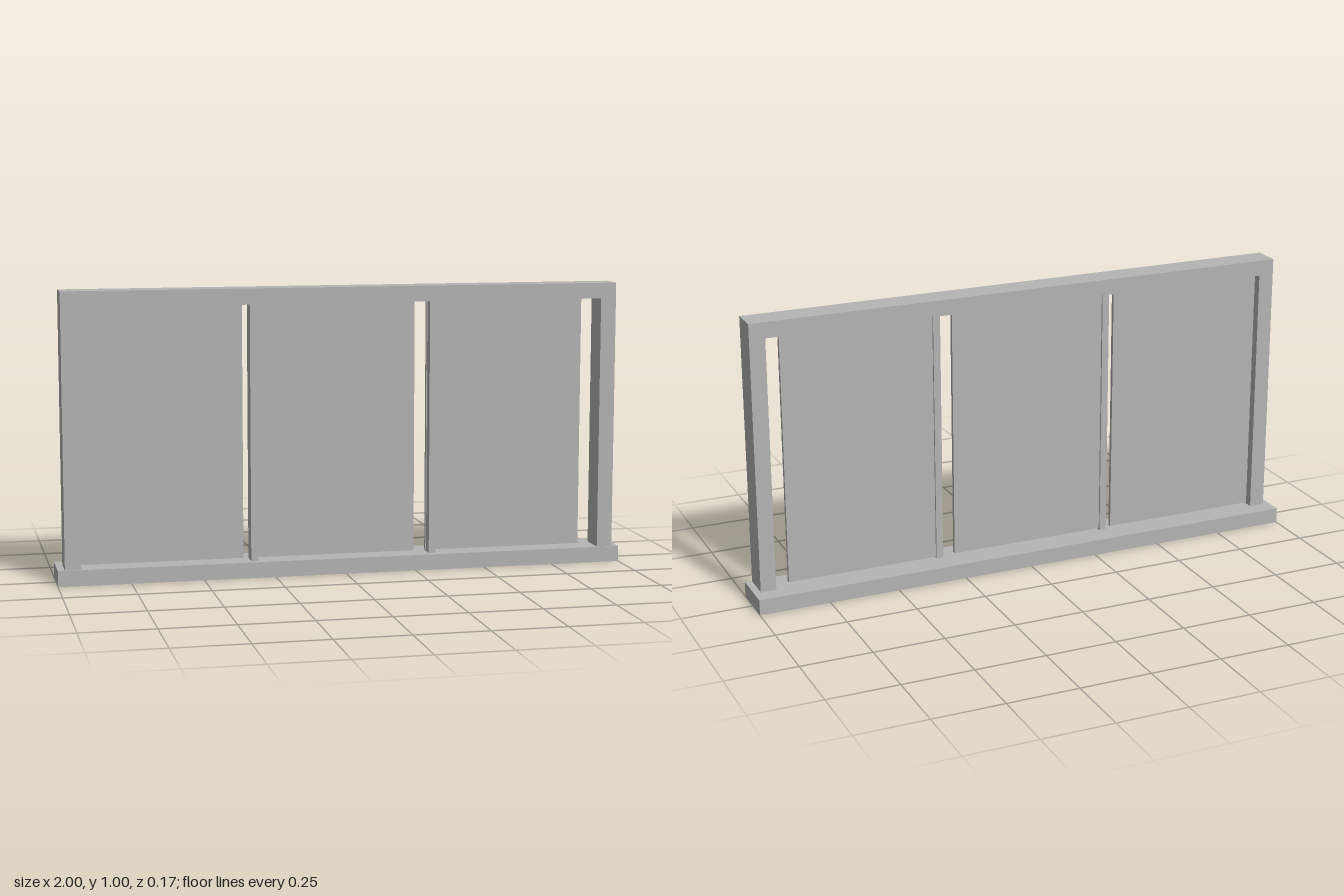
import * as THREE from 'three';

export function createModel() {
  const group = new THREE.Group();
  const grey = new THREE.MeshStandardMaterial({ color: 0xb4b4b4 });
  grey.name = 'grey';

  const add = (name, geometry) => {
    const mesh = new THREE.Mesh(geometry, grey);
    mesh.name = name;
    group.add(mesh);
  };

  // Box given by its extents on each axis
  const box = (name, [x0, x1], [y0, y1], [z0, z1]) => {
    const geometry = new THREE.BoxGeometry(x1 - x0, y1 - y0, z1 - z0);
    geometry.translate((x0 + x1) / 2, (y0 + y1) / 2, (z0 + z1) / 2);
    add(name, geometry);
  };

  const sillTop = 0.055, headBottom = 0.945;
  const outer = 0.976, inner = 0.921;

  // Projecting sill
  box('sill', [-1, 1], [0, sillTop], [-0.083, 0.083]);

  // Jambs and head as one continuous surround, open at the sill
  const surround = new THREE.Shape([
    [-outer, sillTop], [-inner, sillTop], [-inner, headBottom], [inner, headBottom],
    [inner, sillTop], [outer, sillTop], [outer, 1], [-outer, 1],
  ].map(([x, y]) => new THREE.Vector2(x, y)));
  const frame = new THREE.ExtrudeGeometry(surround, { depth: 0.099, bevelEnabled: false });
  frame.translate(0, 0, -0.022);
  add('frame', frame);

  // Two slim mullions
  for (const x of [-0.332, 0.303]) {
    box('mullion', [x, x + 0.025], [sillTop, headBottom], [0, 0.057]);
  }

  // Three panes, each stopping short of the next upright
  for (const x of [-0.92, -0.31, 0.3]) {
    box('pane', [x, x + 0.567], [0.06, 0.942], [0.007, 0.021]);
  }

  return group;
}
